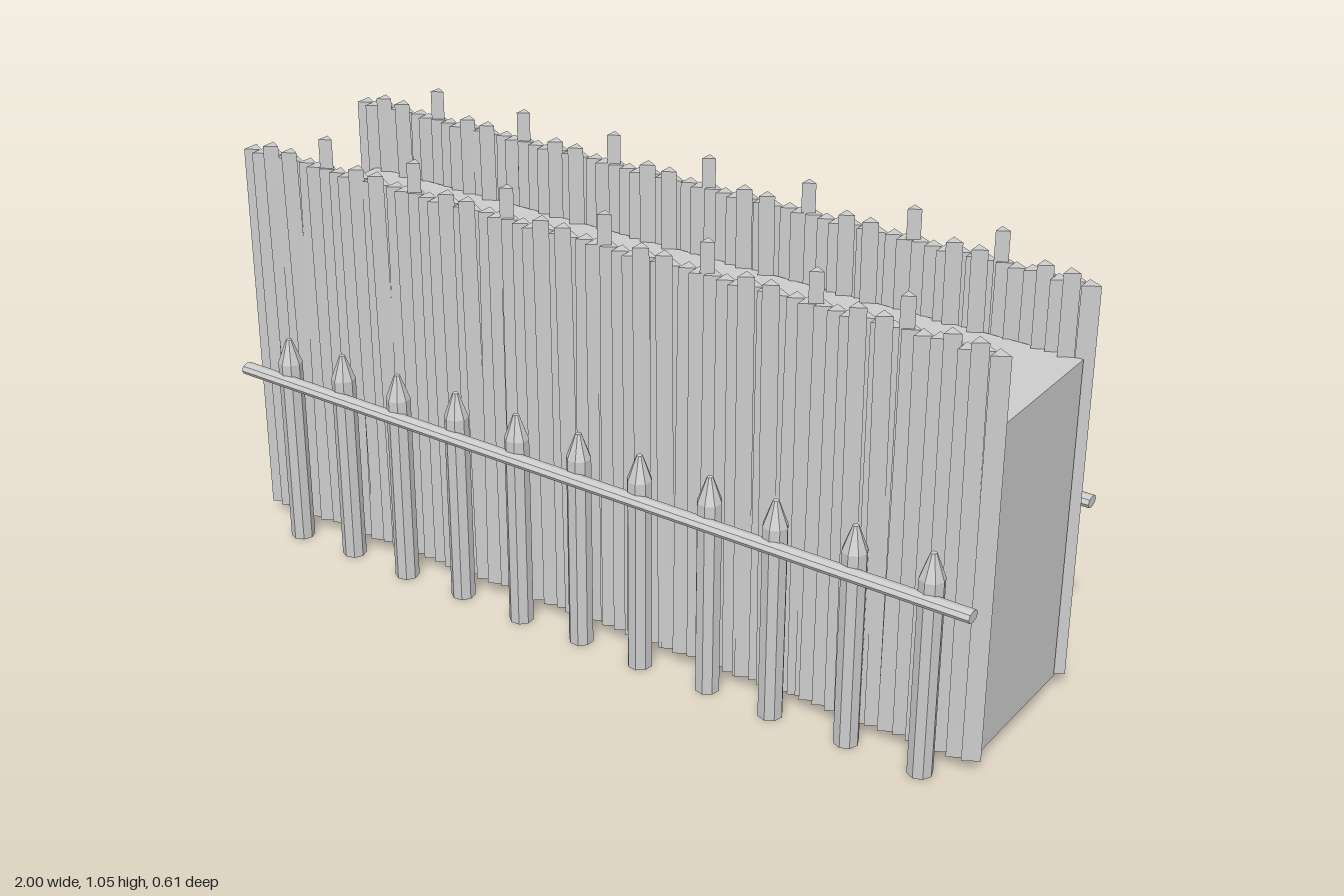
import * as THREE from 'three';

const material = new THREE.MeshStandardMaterial({ color: 0xcccccc, flatShading: true });

function add(parent, name, geometry, x, y, z) {
  const mesh = new THREE.Mesh(geometry, material);
  mesh.name = name;
  mesh.position.set(x, y, z);
  parent.add(mesh);
  return mesh;
}

// Three-sided slat with one edge toward +x; its base is at the origin
function slatGeometry(radius, height) {
  const g = new THREE.CylinderGeometry(radius, radius, height, 3);
  g.rotateY(Math.PI / 2);
  g.translate(0, height / 2, 0);
  return g;
}

const BASE = 0.035;
const PERIOD = 0.2635;

// A row of overlapping split logs with some taller, leaning ones
function createWall(name, z) {
  const wall = new THREE.Group();
  wall.name = name;

  const plain = slatGeometry(0.024, 0.95);
  const leaning = slatGeometry(0.021, 0.977);
  const tall = slatGeometry(0.018, 1.02);

  const count = 60;
  const leans = [0, 0.006, -0.009, 0.003, 0, -0.012, 0.008, -0.004];
  const shifts = [0, 0.003, 0.004, -0.003, 0.002, 0.004, -0.004, 0];
  for (let i = 0; i < count; i++) {
    const x = -0.988 + (i * 1.964) / (count - 1);
    const slat = add(wall, 'slat', plain, x, BASE, z + shifts[i % 8]);
    slat.rotation.x = leans[i % 8];
  }

  // Leaning pairs
  for (let i = 0; i < 8; i++) {
    const x = i < 7 ? -0.915 + i * PERIOD : 0.878;
    for (const offset of [0, 0.063]) {
      const slat = add(wall, 'leaningSlat', leaning, x + offset, BASE, z + 0.005);
      slat.rotation.x = offset ? 0.017 : 0.011;
    }
  }

  // Single tall slats
  for (let i = 0; i < 7; i++) {
    const x = i < 6 ? -0.76 + i * PERIOD : 0.767;
    add(wall, 'tallSlat', tall, x, BASE, z - 0.004);
  }
  return wall;
}

// Pointed stakes carrying a horizontal rail
function createFence(name) {
  const fence = new THREE.Group();
  fence.name = name;

  const profile = [[0, 0], [0.029, 0], [0.029, 0.48], [0.007, 0.54], [0, 0.54]]
    .map(([r, y]) => new THREE.Vector2(r, y));
  const stake = new THREE.LatheGeometry(profile, 8);
  const xs = [-0.865, -0.7, -0.525, -0.355, -0.175, -0.005, 0.165, 0.345, 0.515, 0.705, 0.89];
  xs.forEach((x, i) => {
    const mesh = add(fence, 'stake', stake, x, 0, 0.253 + (i % 2 ? -0.003 : 0.003));
    mesh.rotation.y = i * 0.7;
  });

  const rail = new THREE.CylinderGeometry(0.02, 0.02, 1.985, 8);
  rail.rotateZ(Math.PI / 2);
  rail.scale(1, 0.7, 1);
  add(fence, 'rail', rail, 0.007, 0.44, 0.282);
  return fence;
}

export function createModel() {
  const model = new THREE.Group();
  model.name = 'palisadeWall';

  // Solid earth fill between the two walls
  add(model, 'core', new THREE.BoxGeometry(1.935, 0.785, 0.375), 0.0145, 0.4275, -0.003);

  model.add(createWall('frontWall', 0.197), createWall('backWall', -0.207));

  const backFence = createFence('backFence');
  backFence.rotation.y = Math.PI;
  backFence.position.set(0.007, 0, -0.004);
  model.add(createFence('frontFence'), backFence);

  return model;
}
